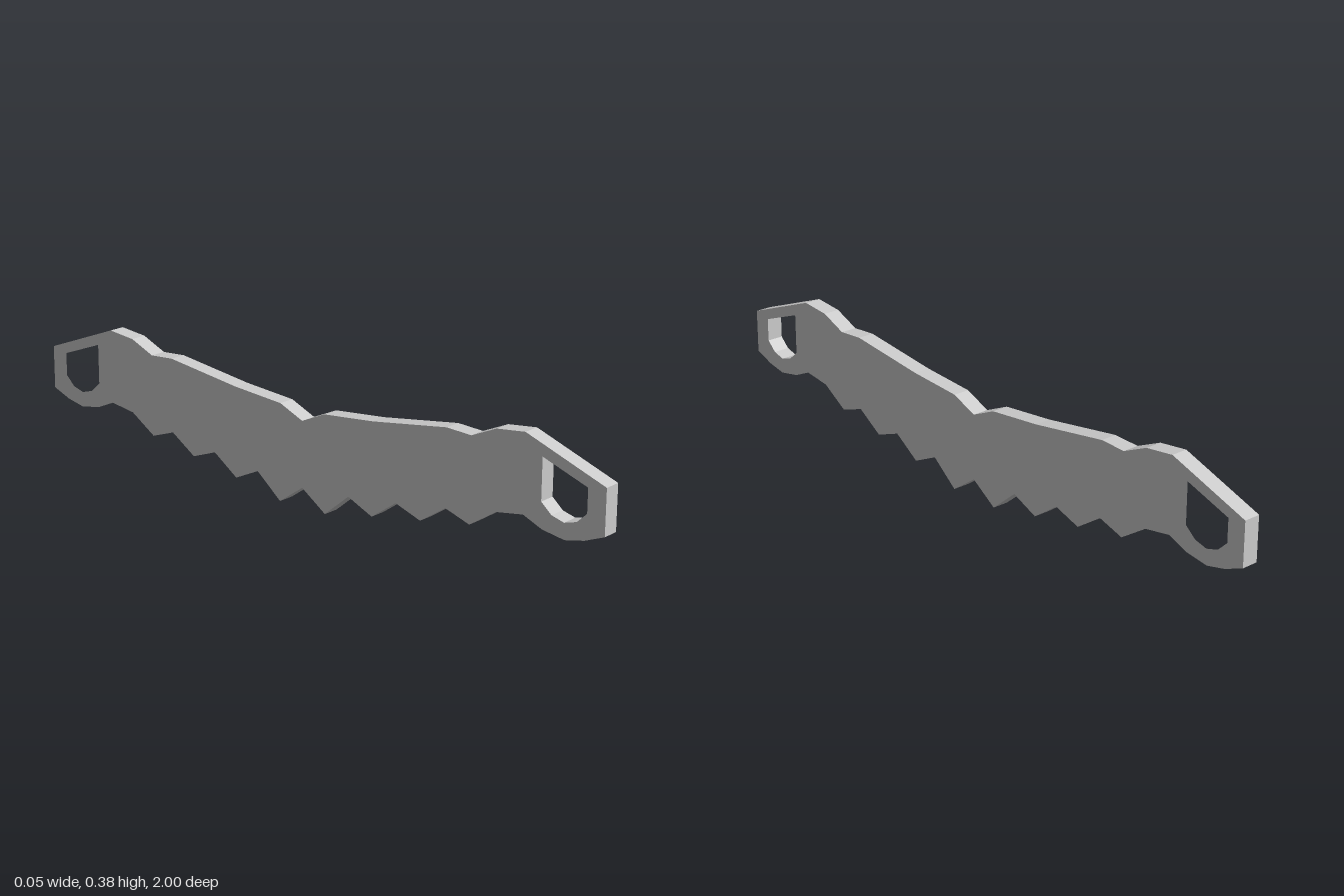
import * as THREE from 'three';

// Half outlines as [distance from the middle, height]
const topEdge = [
  [0, 0.255], [0.08, 0.29], [0.25, 0.305], [0.5, 0.34], [0.58, 0.335],
  [0.66, 0.37], [0.75, 0.38], [1, 0.287],
];
const endEdge = [
  [1, 0.157], [0.94, 0.133], [0.88, 0.12], [0.81, 0.132], [0.75, 0.158], [0.665, 0.145],
];
const teeth = [
  [0.58, 0.09], [0.5, 0.117], [0.417, 0.062], [0.333, 0.092],
  [0.25, 0.034], [0.167, 0.072], [0.083, 0.002], [0, 0.06],
];
const gripHole = [
  [0.945, 0.275], [0.805, 0.326], [0.805, 0.206], [0.838, 0.177],
  [0.877, 0.166], [0.915, 0.177], [0.945, 0.206],
];

const points = (list, side) => list.map(([d, y]) => new THREE.Vector2(d * side, y));

export function createModel() {
  const group = new THREE.Group();
  const thickness = 0.05;

  // Mirrored outline, running out along the top and back along the teeth
  const half = [...topEdge, ...endEdge, ...teeth];
  const shape = new THREE.Shape([
    ...points(half, 1),
    ...points(half.slice(1, -1), -1).reverse(),
  ]);
  for (const side of [1, -1]) shape.holes.push(new THREE.Path(points(gripHole, side)));

  // Flat plate, turned so that its length runs along z
  const geometry = new THREE.ExtrudeGeometry(shape, { depth: thickness, bevelEnabled: false });
  geometry.translate(0, 0, -thickness / 2);
  geometry.rotateY(-Math.PI / 2);

  const blade = new THREE.Mesh(
    geometry,
    new THREE.MeshStandardMaterial({ color: 0xcccccc, flatShading: true }),
  );
  blade.name = 'toothedBlade';
  group.add(blade);
  return group;
}
